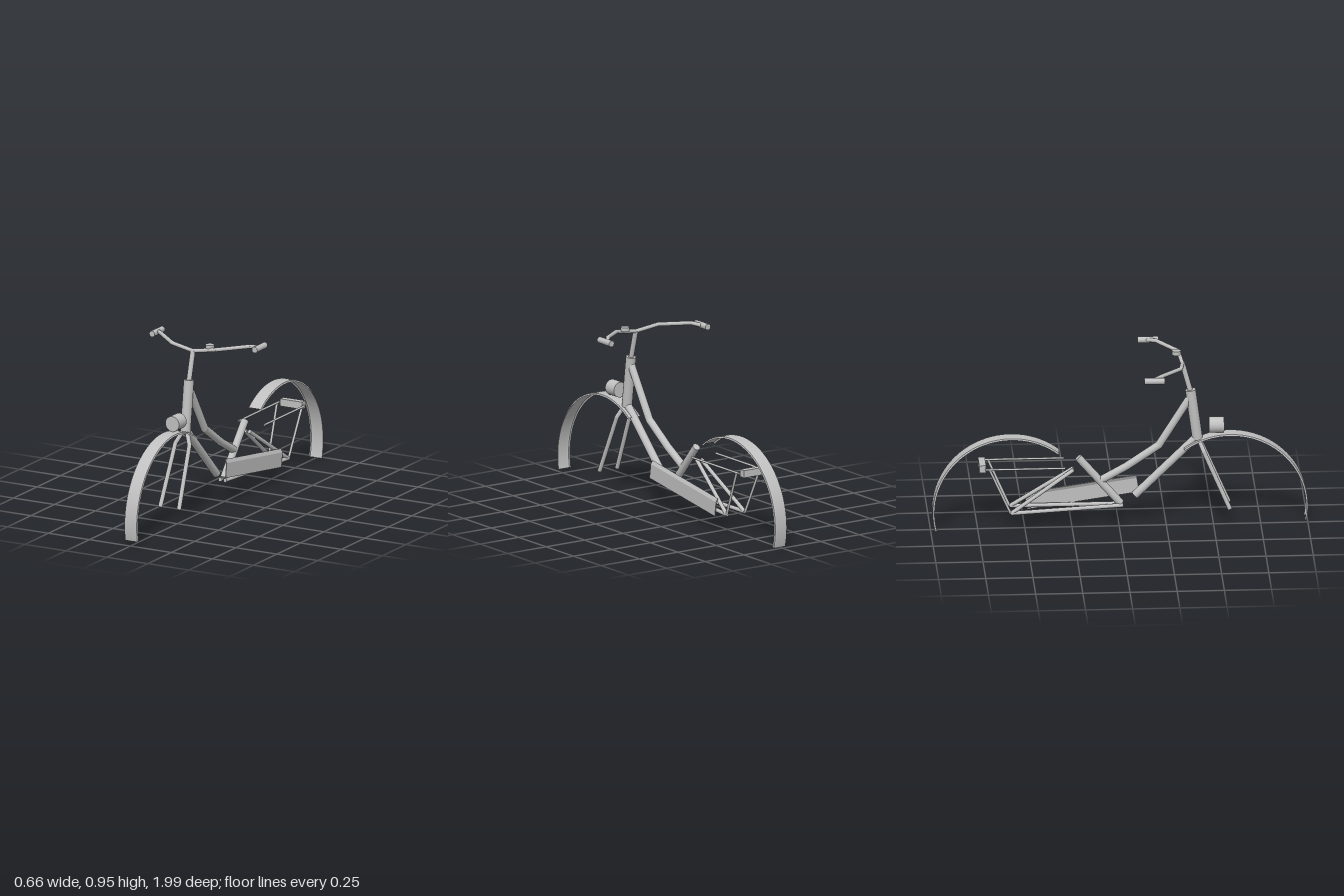
import * as THREE from 'three';

const paint = new THREE.MeshStandardMaterial({ color: 0xc0c0c0, side: THREE.DoubleSide });
paint.name = 'plain grey';

function add(parent, name, geometry, x = 0, y = 0, z = 0) {
  const mesh = new THREE.Mesh(geometry, paint);
  mesh.name = name;
  mesh.position.set(x, y, z);
  parent.add(mesh);
  return mesh;
}

// Round bar through a list of [x, y, z] points, with rounded bends
function bar(parent, name, radius, points) {
  const group = new THREE.Group();
  group.name = name;
  parent.add(group);
  const p = points.map((q) => new THREE.Vector3(...q));
  for (let i = 0; i < p.length - 1; i++) {
    const dir = p[i + 1].clone().sub(p[i]);
    const mid = p[i].clone().add(p[i + 1]).multiplyScalar(0.5);
    const seg = add(group, name + 'Segment', new THREE.CylinderGeometry(radius, radius, dir.length(), 16), mid.x, mid.y, mid.z);
    seg.quaternion.setFromUnitVectors(new THREE.Vector3(0, 1, 0), dir.normalize());
    if (i > 0) add(group, name + 'Bend', new THREE.SphereGeometry(radius, 16, 10), p[i].x, p[i].y, p[i].z);
  }
  return group;
}

// Curved mudguard with turned-down lips; angles in degrees upward from +z
function mudguard(parent, name, z, radius, from, to) {
  const profile = [[-0.04, -0.011], [-0.037, -0.002], [-0.029, 0], [0.029, 0], [0.037, -0.002], [0.04, -0.011]];
  const rad = Math.PI / 180;
  const group = new THREE.Group();
  group.name = name;
  group.position.set(0, 0.11, z);
  group.rotation.z = -Math.PI / 2;
  parent.add(group);
  // each strip is its own lathe so the folds stay sharp
  for (let i = 0; i < profile.length - 1; i++) {
    const pts = [profile[i], profile[i + 1]].map(([x, r]) => new THREE.Vector2(radius + r, x));
    add(group, name + 'Strip', new THREE.LatheGeometry(pts, 36, -to * rad, (to - from) * rad));
  }
}

export function createModel() {
  const bike = new THREE.Group();
  bike.name = 'bicycleFrame';

  // Mudguards
  mudguard(bike, 'frontMudguard', 0.585, 0.415, -11, 126);
  mudguard(bike, 'rearMudguard', -0.575, 0.416, 52, 194.5);

  // Main frame
  bar(bike, 'headTube', 0.028, [[0, 0.49, 0.415], [0, 0.768, 0.378]]);
  bar(bike, 'downTube', 0.022, [[0, 0.5, 0.41], [0, 0.178, 0.083]]);
  bar(bike, 'upperTube', 0.021, [[0, 0.735, 0.382], [0, 0.458, 0.21], [0, 0.343, 0.04], [0, 0.262, -0.105]]);
  bar(bike, 'seatTube', 0.021, [[0, 0.398, -0.218], [0, 0.135, 0.008]]);

  // Steering
  bar(bike, 'stem', 0.014, [[0, 0.75, 0.38], [0, 0.918, 0.335]]);
  bar(bike, 'handlebar', 0.011, [
    [-0.31, 0.937, 0.16], [-0.27, 0.947, 0.21], [-0.135, 0.937, 0.32], [0, 0.916, 0.335],
    [0.135, 0.937, 0.32], [0.27, 0.947, 0.21], [0.31, 0.937, 0.16],
  ]);
  add(bike, 'bell', new THREE.CylinderGeometry(0.024, 0.024, 0.022, 20), 0.088, 0.946, 0.308);

  // Headlamp
  add(bike, 'headlamp', new THREE.CylinderGeometry(0.042, 0.042, 0.08, 24), 0, 0.567, 0.515).rotation.x = Math.PI / 2;

  // Paired parts
  for (const [side, s] of [['left', 1], ['right', -1]]) {
    bar(bike, side + 'Grip', 0.017, [[s * 0.313, 0.937, 0.115], [s * 0.313, 0.937, 0.225]]);
    bar(bike, side + 'ForkLeg', 0.012, [[s * 0.01, 0.5, 0.417], [s * 0.043, 0.43, 0.447], [s * 0.057, 0.11, 0.584]]);
    bar(bike, side + 'ChainStay', 0.011, [[s * 0.015, 0.128, 0.02], [s * 0.058, 0.11, -0.578]]);
    bar(bike, side + 'SeatStay', 0.011, [[s * 0.014, 0.333, -0.242], [s * 0.058, 0.11, -0.575]]);
    bar(bike, side + 'RackRail', 0.006, [[s * 0.078, 0.366, -0.288], [s * 0.078, 0.366, -0.715]]);
    bar(bike, side + 'RackStay', 0.007, [[s * 0.076, 0.364, -0.69], [s * 0.06, 0.11, -0.578]]);
  }

  // Rear lamp
  add(bike, 'rearLamp', new THREE.BoxGeometry(0.134, 0.04, 0.036), 0, 0.366, -0.727);

  // Chain guard: flat plate with a sloping top flange
  const section = new THREE.Shape([
    [0.067, -0.05], [0.071, -0.05], [0.071, 0.03], [0.061, 0.05], [0.058, 0.048], [0.067, 0.029],
  ].map(([x, y]) => new THREE.Vector2(x, y)));
  const guard = new THREE.ExtrudeGeometry(section, { depth: 0.6, bevelEnabled: false });
  guard.translate(0, 0, -0.3);
  add(bike, 'chainGuard', guard, 0, 0.177, -0.194).rotation.x = -0.145;

  return bike;
}
